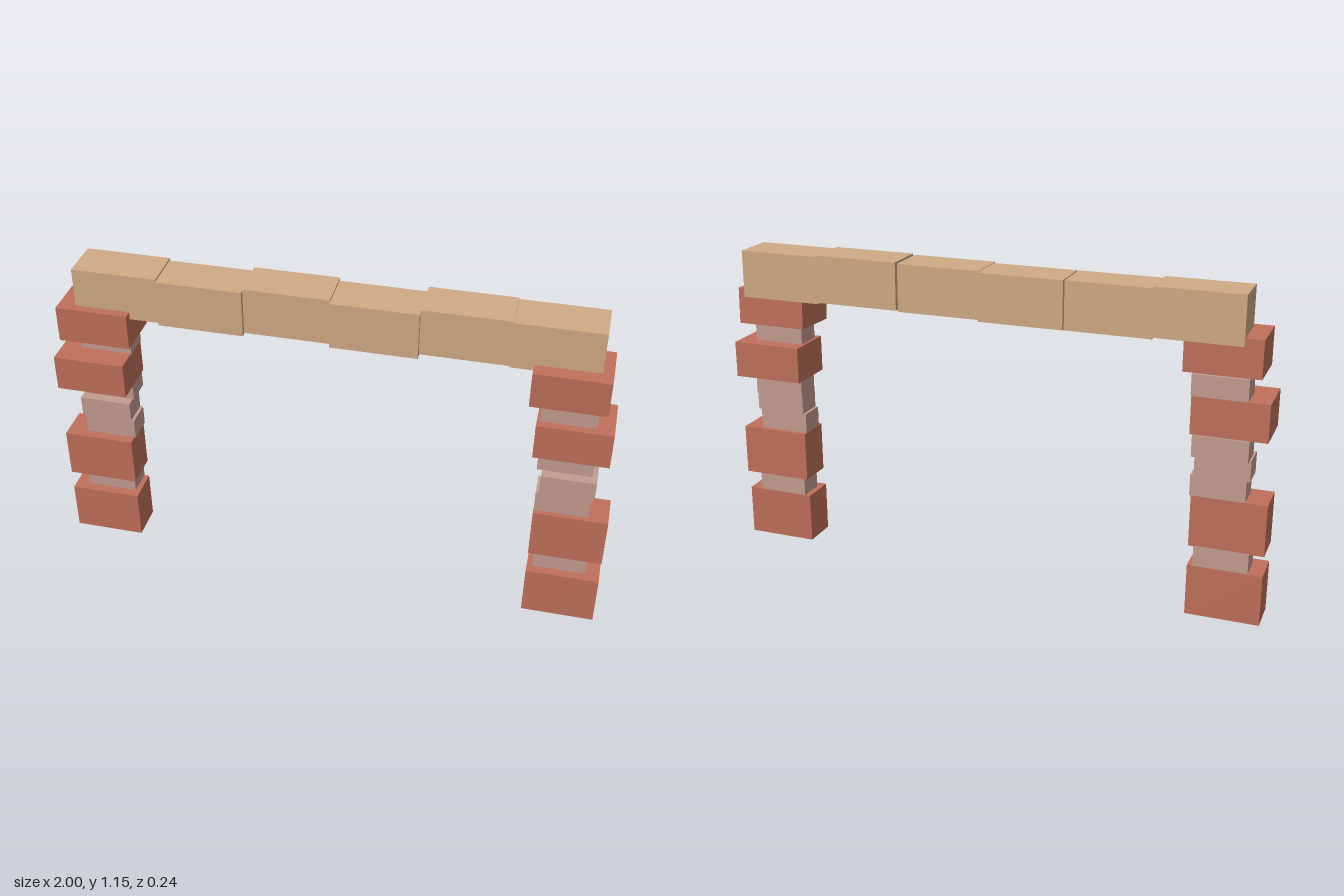
import * as THREE from 'three';

const material = (color) => new THREE.MeshStandardMaterial({ color, flatShading: true });

export function createModel() {
  const group = new THREE.Group();
  group.name = 'blockArch';
  const brickMat = material(0xc0705a);
  const spacerMat = material(0xc49c90);
  const beamMat = material(0xd0ab86);

  // one box shape per kind of block; bricks come upright or lying flat
  const kinds = {
    uprightBrick: [new THREE.BoxGeometry(0.257, 0.184, 0.131), brickMat],
    flatBrick: [new THREE.BoxGeometry(0.257, 0.131, 0.183), brickMat],
    spacer: [new THREE.BoxGeometry(0.188, 0.075, 0.097), spacerMat],
    beamBlock: [new THREE.BoxGeometry(0.3, 0.169, 0.153), beamMat],
  };

  function addBlock(parent, kind, x, y, z, tilt = 0) {
    const mesh = new THREE.Mesh(...kinds[kind]);
    mesh.name = kind;
    mesh.position.set(x, y, z);
    mesh.rotation.x = tilt;
    parent.add(mesh);
  }

  // pillar courses, bottom to top: kind, centre y, left x, left z, right x, right z
  const courses = [
    ['uprightBrick', 0.092, 0.871, 0.054, -0.871, -0.017],
    ['spacer', 0.222, 0.857, 0.037, -0.855, -0.034],
    ['uprightBrick', 0.349, 0.871, 0.039, -0.871, -0.017],
    ['spacer', 0.478, 0.837, 0.037, -0.831, -0.034],
    ['spacer', 0.553, 0.848, 0.037, -0.842, -0.034],
    ['spacer', 0.629, 0.830, 0.003, -0.836, -0.067],
    ['flatBrick', 0.732, 0.846, -0.004, -0.860, -0.016],
    ['spacer', 0.835, 0.822, 0.009, -0.823, -0.059],
  ];
  const leftPillar = new THREE.Group();
  const rightPillar = new THREE.Group();
  leftPillar.name = 'leftPillar';
  rightPillar.name = 'rightPillar';
  for (const [kind, y, lx, lz, rx, rz] of courses) {
    addBlock(leftPillar, kind, lx, y, lz);
    addBlock(rightPillar, kind, rx, y, rz);
  }
  // top bricks, the left one slightly tipped forward
  addBlock(leftPillar, 'flatBrick', 0.816, 0.937, -0.006, 0.03);
  addBlock(rightPillar, 'flatBrick', -0.826, 0.942, -0.016);

  // lintel of six blocks resting in the pillar tops: x, y, z
  const lintel = new THREE.Group();
  lintel.name = 'lintel';
  const beams = [
    [-0.742, 1.064, -0.033],
    [-0.442, 1.057, -0.029],
    [-0.144, 1.061, -0.045],
    [0.159, 1.061, -0.024],
    [0.459, 1.069, -0.041],
    [0.758, 1.064, -0.041],
  ];
  for (const [x, y, z] of beams) addBlock(lintel, 'beamBlock', x, y, z);

  group.add(leftPillar, rightPillar, lintel);
  return group;
}
